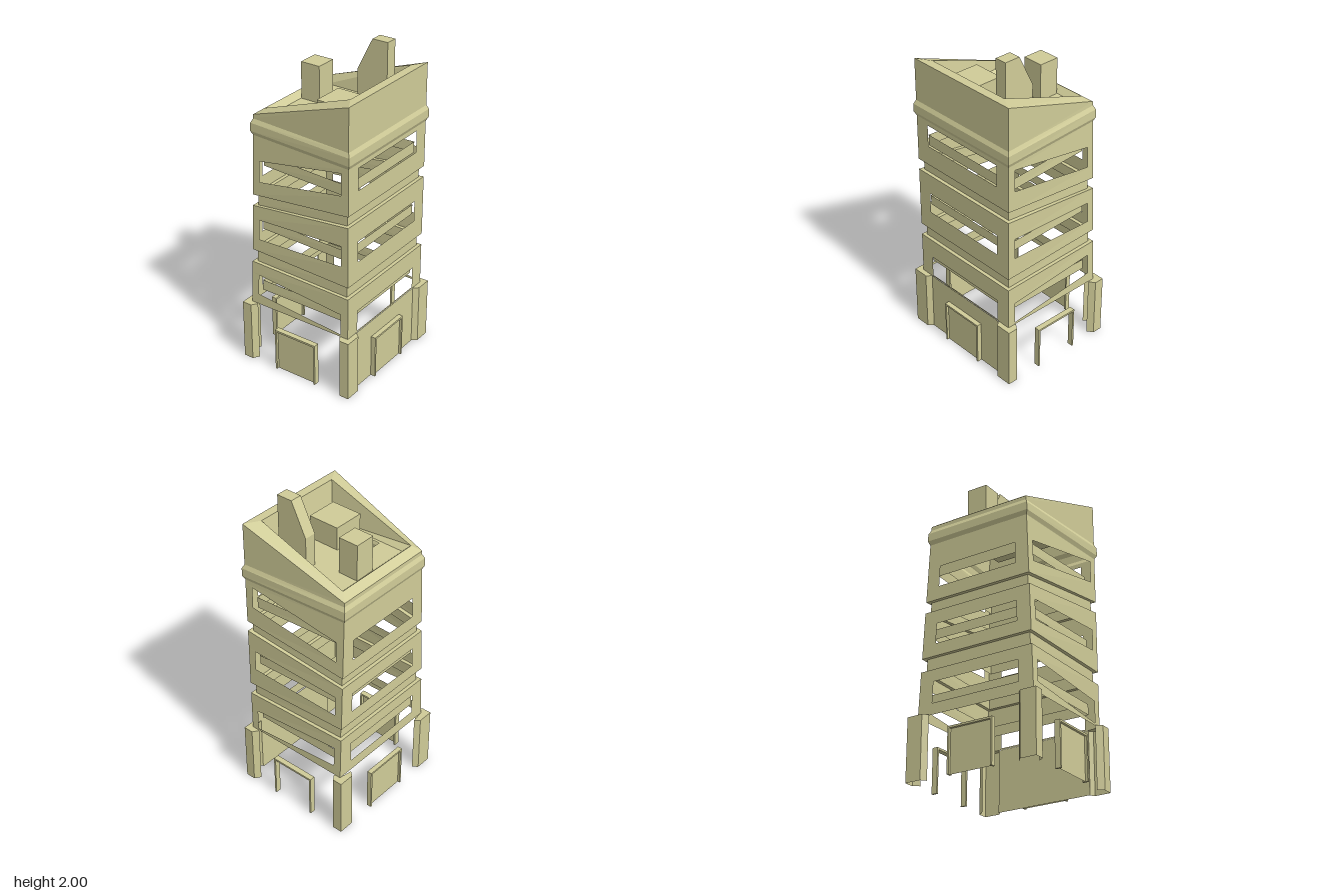
import * as THREE from 'three';

const stone = new THREE.MeshStandardMaterial({ color: 0xd0cc98, side: THREE.DoubleSide });
stone.name = 'paleStone';

// flat-shaded mesh from four-cornered faces
function quadMesh(name, quads) {
  const pos = [];
  for (const [a, b, c, d] of quads) pos.push(...a, ...b, ...c, ...a, ...c, ...d);
  const g = new THREE.BufferGeometry();
  g.setAttribute('position', new THREE.Float32BufferAttribute(pos, 3));
  g.computeVertexNormals();
  const m = new THREE.Mesh(g, stone);
  m.name = name;
  return m;
}

function box(name, x0, x1, y0, y1, z0, z1) {
  const m = new THREE.Mesh(new THREE.BoxGeometry(x1 - x0, y1 - y0, z1 - z0), stone);
  m.position.set((x0 + x1) / 2, (y0 + y1) / 2, (z0 + z1) / 2);
  m.name = name;
  return m;
}

const lerp = (a, b, t) => a.map((v, i) => v + (b[i] - v) * t);

// tower outline at one level: wide front, back narrowing with height
function outline(yFront, yBack, inset = 0) {
  const t = (yBack - 0.385) / 1.215;
  const f = 0.385 - inset, b = 0.385 - 0.05 * t - inset;
  const zf = 0.355 - inset, zb = -0.345 + 0.012 * t + inset;
  return [[-f, yFront, zf], [f, yFront, zf], [b, yBack, zb], [-b, yBack, zb]];
}

function ring(lower, upper) {
  return lower.map((p, i) => [p, lower[(i + 1) % 4], upper[(i + 1) % 4], upper[i]]);
}

// one storey's wall band with a long opening on every side
function windowRing(lower, upper) {
  const quads = [];
  lower.forEach((a, i) => {
    const j = (i + 1) % 4, m = i % 2 ? 0.072 : 0.123;
    for (const [u, v] of [[0, m], [1 - m, 1]]) {
      quads.push([lerp(a, lower[j], u), lerp(a, lower[j], v),
        lerp(upper[i], upper[j], v), lerp(upper[i], upper[j], u)]);
    }
  });
  return quads;
}

function tower() {
  // front height, back height, inset, opening above this level
  const levels = [
    [0.385, 0.385, 0], [0.395, 0.455, 0, true], [0.53, 0.585, 0], [0.652, 0.66, 0],
    [0.652, 0.66, 0.022], [0.73, 0.742, 0.022], [0.73, 0.742, 0],
    [0.857, 0.82, 0, true], [0.988, 0.945, 0], [1.115, 1.03, 0],
    [1.115, 1.03, 0.022], [1.185, 1.1, 0.022], [1.185, 1.1, 0],
    [1.31, 1.185, 0, true], [1.447, 1.315, 0], [1.475, 1.475, 0],
    [1.5, 1.5, -0.012], [1.55, 1.55, -0.012], [1.575, 1.575, 0], [1.838, 1.6, 0],
  ];
  const quads = [];
  for (let i = 0; i + 1 < levels.length; i++) {
    const [f, b, s, open] = levels[i];
    const lo = outline(f, b, s), hi = outline(...levels[i + 1].slice(0, 3));
    quads.push(...(open ? windowRing : ring)(lo, hi));
  }
  return quadMesh('towerWalls', quads);
}

function roof() {
  const g = new THREE.Group();
  g.name = 'roof';
  const rect = (x, zf, zb, yf, yb) => [[-x, yf, zf], [x, yf, zf], [x, yb, zb], [-x, yb, zb]];
  const inner = rect(0.293, 0.3, -0.285, 1.838, 1.635);
  const y = 1.6, floor = rect(0.258, 0.266, -0.25, y, y);
  g.add(quadMesh('parapetTop', ring(outline(1.838, 1.6), inner)));
  g.add(quadMesh('parapetInside', ring(inner, floor)));
  // floor with a rectangular shaft opening
  const hole = [[-0.24, y, -0.01], [-0.02, y, -0.01], [-0.02, y, -0.1], [-0.24, y, -0.1]];
  g.add(quadMesh('roofFloor', ring(floor, hole)));
  g.add(box('roofHut', -0.23, -0.03, y, 1.745, 0.033, 0.235));
  g.add(box('roofVent', 0, 0.132, y, 1.826, -0.248, -0.12));
  // chimney with a sloping back
  const s = new THREE.Shape([[0.235, y], [0.235, 2], [0.133, 2], [0.034, 1.8], [0.034, y]]
    .map(([z, h]) => new THREE.Vector2(-z, h)));
  const c = new THREE.Mesh(new THREE.ExtrudeGeometry(s, { depth: 0.075, bevelEnabled: false }), stone);
  c.rotation.y = Math.PI / 2;
  c.position.x = 0.155;
  c.name = 'chimney';
  g.add(c);
  return g;
}

// open corner pillar with chamfered sides and a flat cap
function pillar(sx, sz) {
  const h = 0.385;
  const path = [[0.3, 0.357], [0.325, 0.387], [0.425, 0.387], [0.425, 0.325], [0.388, 0.3]]
    .map(([x, z]) => [x * sx, z * sz]);
  const quads = [];
  for (let i = 0; i < 4; i++) {
    const [a, b] = [path[i], path[i + 1]];
    const q = [[a[0], 0, a[1]], [b[0], 0, b[1]], [b[0], h, b[1]], [a[0], h, a[1]]];
    quads.push(sx * sz > 0 ? q : q.reverse());
  }
  const top = ([x, z]) => [x, h, z];
  const c = [0.375 * sx, h, 0.345 * sz];
  const caps = [[top(path[0]), top(path[1]), top(path[2]), c], [c, top(path[2]), top(path[3]), top(path[4])]];
  for (const q of caps) quads.push(sx * sz > 0 ? q : q.reverse());
  return quadMesh('cornerPillar', quads);
}

// door surround, with or without its panel, facing +z before turning
function doorway(name, angle, distance, depth, panel) {
  const g = new THREE.Group();
  g.name = name;
  const z0 = distance - depth;
  g.add(box('doorJamb', -0.147, -0.135, 0, 0.275, z0, distance));
  g.add(box('doorJamb', 0.135, 0.147, 0, 0.275, z0, distance));
  g.add(box('doorLintel', -0.135, 0.135, 0.263, 0.275, z0, distance));
  if (panel) {
    const z = distance - 0.015;
    g.add(quadMesh('doorPanel', [[[-0.135, 0, z], [0.135, 0, z], [0.135, 0.263, z], [-0.135, 0.263, z]]]));
  }
  g.rotation.y = angle;
  return g;
}

export function createModel() {
  const model = new THREE.Group();
  model.name = 'towerBuilding';
  model.add(tower(), roof());

  // horizontal bands just inside each row of windows
  for (const [lo, hi] of [[0.46, 0.525], [0.87, 0.932], [1.278, 1.347]]) {
    model.add(quadMesh('innerBand', ring(outline(lo, lo, 0.045), outline(hi, hi, 0.045))));
  }

  // ground floor
  for (const sx of [-1, 1]) for (const sz of [-1, 1]) model.add(pillar(sx, sz));
  const w = 0.31, z = 0.357;
  model.add(quadMesh('frontWall', [[[-w, 0, z], [w, 0, z], [w, 0.385, z], [-w, 0.385, z]]]));
  model.add(doorway('frontDoor', 0, 0.387, 0.03, true));
  model.add(doorway('leftDoorFrame', Math.PI / 2, 0.425, 0.035, false));
  model.add(doorway('backDoor', Math.PI, 0.387, 0.03, true));
  model.add(doorway('rightDoor', -Math.PI / 2, 0.425, 0.035, true));
  return model;
}
